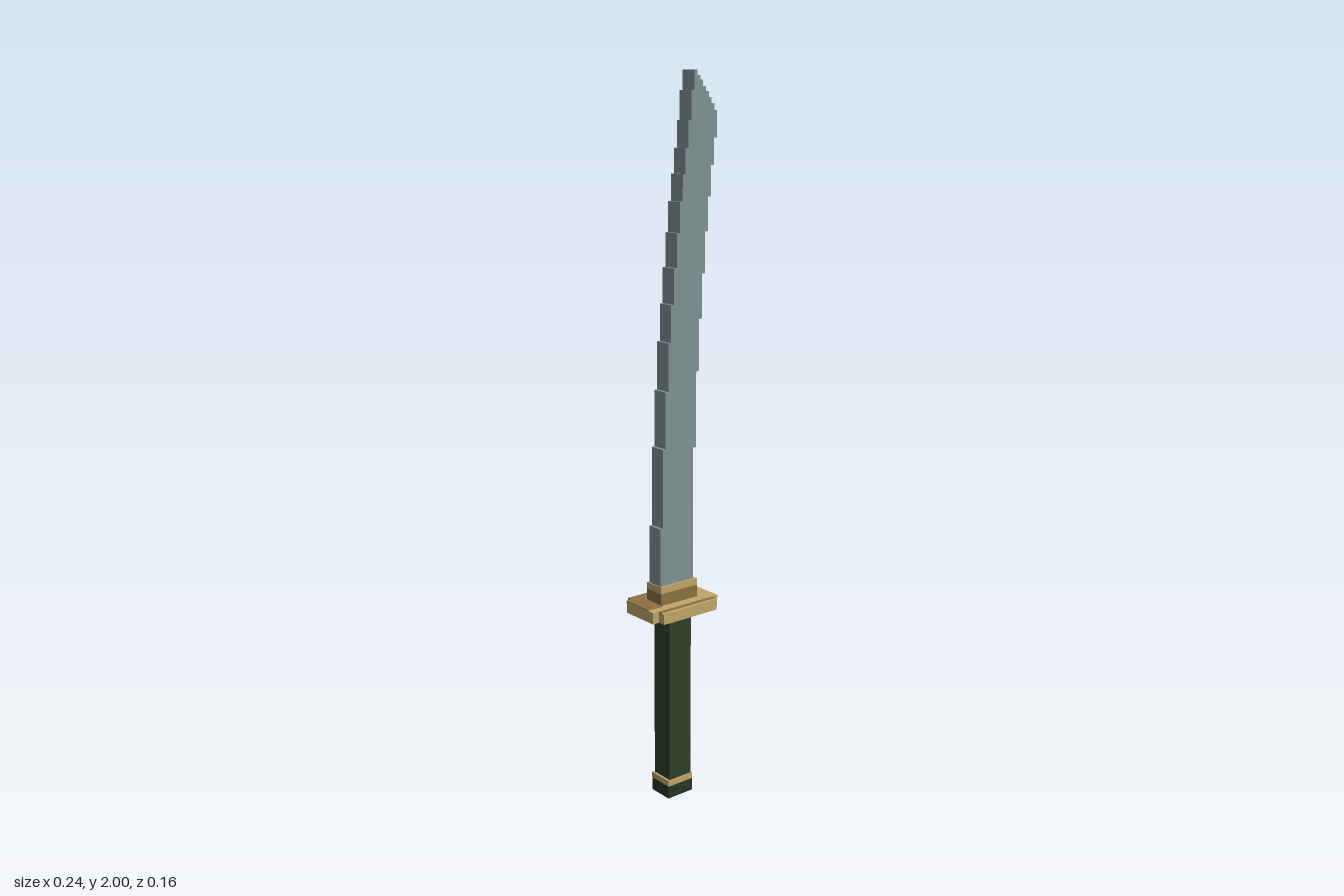
import * as THREE from 'three';

const mat = (name, color) => Object.assign(new THREE.MeshStandardMaterial({ color }), { name });

export function createModel() {
  const steel = mat('steel', 0x839396), gold = mat('gold', 0xc0a66a);
  const bronze = mat('bronze', 0x8d7343), green = mat('gripGreen', 0x2f4029);
  const darkGreen = mat('darkGreen', 0x283722);
  const sword = new THREE.Group();
  sword.name = 'sword';

  // Box given by its minimum and maximum on each axis
  const box = (name, material, [x0, x1], [y0, y1], [z0, z1]) => {
    const m = new THREE.Mesh(new THREE.BoxGeometry(x1 - x0, y1 - y0, z1 - z0), material);
    m.position.set((x0 + x1) / 2, (y0 + y1) / 2, (z0 + z1) / 2);
    m.name = name;
    sword.add(m);
  };

  // Blade: a curved outline made of equal sideways steps at shrinking heights
  const step = 0.0096;
  const edgeSteps = [1.01, 1.22, 1.36, 1.48, 1.59, 1.68, 1.76, 1.83];
  const tipSteps = [1.9, 1.917, 1.932, 1.947, 1.96, 1.975, 1.987, 2];
  const spineSteps = [0.8, 1.02, 1.175, 1.305, 1.405, 1.5, 1.59, 1.67, 1.74, 1.805, 1.875, 1.95];
  const outline = new THREE.Shape();
  let x = 0.045;
  outline.moveTo(x, 0.6);
  for (const y of edgeSteps) {
    outline.lineTo(x, y);
    outline.lineTo(x += step, y);
  }
  for (const y of tipSteps) {
    outline.lineTo(x, y);
    if (y < 2) outline.lineTo(x -= step, y);
  }
  let s = -0.07 + spineSteps.length * step;
  outline.lineTo(s, 2);
  for (const y of [...spineSteps].reverse()) {
    outline.lineTo(s, y);
    outline.lineTo(s -= step, y);
  }
  outline.lineTo(s, 0.6);
  const bladeGeo = new THREE.ExtrudeGeometry(outline, { depth: 0.048, bevelEnabled: false });
  bladeGeo.translate(0, 0, -0.024);
  const blade = new THREE.Mesh(bladeGeo, steel);
  blade.name = 'blade';
  sword.add(blade);

  // Collar at the blade root
  box('collarBase', bronze, [-0.073, 0.054], [0.58, 0.617], [-0.031, 0.031]);
  box('collarRim', gold, [-0.073, 0.054], [0.617, 0.636], [-0.031, 0.031]);

  // Guard: wide plate with a stepped lip on the front and back
  box('guard', gold, [-0.123, 0.106], [0.55, 0.583], [-0.059, 0.058]);
  box('guardFrontRidge', gold, [-0.102, 0.086], [0.55, 0.58], [0.058, 0.079]);
  box('guardBackRidge', gold, [-0.102, 0.086], [0.55, 0.58], [-0.081, -0.059]);

  // Darker inlays on the guard
  box('guardFrontInlay', bronze, [-0.102, 0.086], [0.58, 0.582], [0.058, 0.068]);
  box('guardBackInlay', bronze, [-0.102, 0.086], [0.58, 0.582], [-0.081, -0.071]);
  box('guardTopBackInlay', bronze, [-0.123, 0.106], [0.583, 0.585], [-0.059, -0.043]);
  box('guardTopSideInlay', bronze, [-0.123, -0.073], [0.583, 0.585], [-0.043, 0.036]);
  box('guardUnderside', bronze, [-0.1, 0.084], [0.548, 0.55], [-0.056, 0.056]);

  // Grip with its bands and end cap
  box('upperBand', gold, [-0.053, 0.037], [0.529, 0.549], [-0.038, 0.038]);
  box('grip', green, [-0.046, 0.03], [0.03, 0.53], [-0.034, 0.034]);
  box('lowerBand', gold, [-0.053, 0.033], [0.037, 0.054], [-0.038, 0.038]);
  box('endCap', darkGreen, [-0.053, 0.033], [0, 0.037], [-0.037, 0.037]);

  return sword;
}
